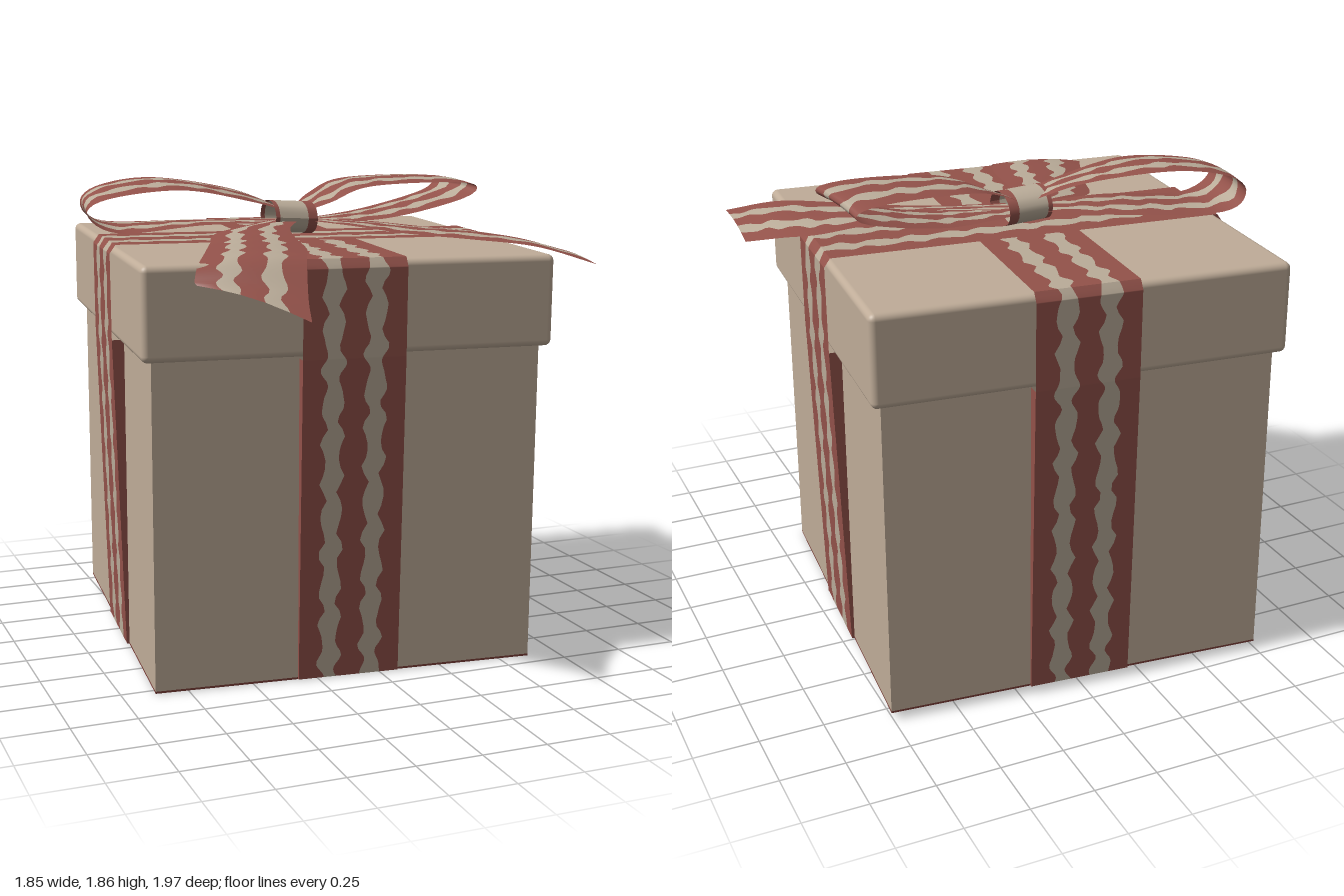
import * as THREE from 'three';
import { RoundedBoxGeometry } from 'three/addons/geometries/RoundedBoxGeometry.js';

const flat = (name, color, side = THREE.FrontSide) => {
  const m = new THREE.MeshStandardMaterial({ color, side });
  m.name = name;
  return m;
};

// Striped ribbon spanned between two edge curves; each section is [edge A xyz, edge B xyz].
function ribbonGeometry(sections, { tension = 0.5, bulge = 0, amp = 0.012, stops = [0, 0.21, 0.38, 0.62, 0.79, 1] } = {}) {
  const edge = (o) => new THREE.CatmullRomCurve3(
    sections.map((s) => new THREE.Vector3(s[o], s[o + 1], s[o + 2])), false, 'catmullrom', tension);
  const A = edge(0), B = edge(3), last = sections.length - 1;
  const params = [];
  for (let i = 0; i < last; i++) {
    const len = A.points[i].distanceTo(A.points[i + 1]) + B.points[i].distanceTo(B.points[i + 1]);
    const n = Math.max(2, Math.ceil(len / 2 / 0.022));
    for (let j = 0; j < n; j++) params.push((i + j / n) / last);
  }
  params.push(1);

  const pos = [], index = [], p = new THREE.Vector3(), cols = stops.length;
  let run = 0, prev = null;
  for (const t of params) {
    const a = A.getPoint(t), b = B.getPoint(t), width = a.distanceTo(b);
    const mid = a.clone().lerp(b, 0.5);
    if (prev) run += mid.distanceTo(prev);
    prev = mid;
    stops.forEach((s, c) => {
      const inner = c > 0 && c < cols - 1;
      // wavy painted edge, about seven waves per unit
      const wave = inner ? amp * Math.sin(run * 44 + c * 1.9) + amp * 0.4 * Math.sin(run * 71 + c) : 0;
      const v = s + wave / Math.max(width, 0.3);
      p.lerpVectors(a, b, v);
      pos.push(p.x, p.y + bulge * width * Math.sin(Math.PI * v), p.z);
    });
  }
  const g = new THREE.BufferGeometry();
  for (let c = 0; c < cols - 1; c++) {
    const start = index.length;
    for (let r = 0; r < params.length - 1; r++) {
      const k = r * cols + c;
      index.push(k, k + 1, k + cols, k + 1, k + cols + 1, k + cols);
    }
    g.addGroup(start, index.length - start, c % 2);
  }
  g.setAttribute('position', new THREE.Float32BufferAttribute(pos, 3));
  g.setIndex(index);
  g.computeVertexNormals();
  return g;
}

export function createModel() {
  const paper = flat('tan paper', 0xbfac98);
  const red = flat('ribbon red', 0x93524a, THREE.DoubleSide);
  const cream = flat('ribbon cream', 0xbaac99, THREE.DoubleSide);
  const baseRed = flat('base red', 0x7d3f39);
  const stripes = [red, cream];

  const model = new THREE.Group();
  model.name = 'giftBox';
  const add = (parent, name, geometry, material, x = 0, y = 0, z = 0) => {
    const m = new THREE.Mesh(geometry, material);
    m.name = name;
    m.position.set(x, y, z);
    parent.add(m);
    return m;
  };

  // Box, turned and tipped slightly
  const box = new THREE.Group();
  box.name = 'box';
  box.position.set(-0.06, 0.017, -0.14);
  box.rotation.set(0.02, -0.0884, 0);
  model.add(box);
  add(box, 'boxBody', new THREE.BoxGeometry(1.506, 1.272, 1.506), paper, 0, 0.644, 0);
  add(box, 'lid', new RoundedBoxGeometry(1.586, 0.35, 1.586, 3, 0.025), paper, 0, 1.435, 0);

  // Painted underside with two bare patches
  add(box, 'basePlate', new THREE.BoxGeometry(1.506, 0.008, 1.506), baseRed, 0, 0.004, 0);
  add(box, 'basePatchLarge', new THREE.BoxGeometry(0.48, 0.004, 1.11), cream, 0.28, 0, -0.015);
  add(box, 'basePatchSmall', new THREE.BoxGeometry(0.54, 0.004, 0.37), cream, -0.33, 0, 0.485);

  // Wrapping bands: up one side, over the lid, down the other
  const half = 0.2;
  const side = [[0.764, 0.002], [0.801, 1.25], [0.803, 1.585], [0.78, 1.618]];
  const path = [...side, ...side.map(([u, y]) => [-u, y]).reverse()];
  const skirt = new THREE.Shape([[0.74, 0.002], [0.764, 0.002], [0.801, 1.25], [0.74, 1.25]]
    .map(([u, y]) => new THREE.Vector2(u, y)));
  for (let i = 0; i < 2; i++) {
    const band = new THREE.Group();
    band.name = i ? 'bandSideToSide' : 'bandFrontToBack';
    band.rotation.y = i * Math.PI / 2;
    box.add(band);
    const lift = i * 0.003;
    add(band, 'bandStripes', ribbonGeometry(
      path.map(([u, y]) => [-half, y + lift, u, half, y + lift, u]), { tension: 0 }), stripes);
    // edges of the band where it stands off the body below the lid
    for (const dir of [-1, 1]) for (const s of [-1, 1]) {
      add(band, 'bandEdge', new THREE.ShapeGeometry(skirt), red, s * half, 0, 0).rotation.y = dir * Math.PI / 2;
    }
  }

  // Bow
  const bow = new THREE.Group();
  bow.name = 'bow';
  model.add(bow);
  add(bow, 'leftLoopOfBow', ribbonGeometry([
    [-0.09, 1.74, -0.2, -0.09, 1.73, -0.08],
    [-0.28, 1.82, -0.31, -0.27, 1.78, -0.07],
    [-0.58, 1.865, -0.44, -0.55, 1.83, -0.08],
    [-0.8, 1.83, -0.49, -0.84, 1.80, -0.12],
    [-0.865, 1.76, -0.5, -0.925, 1.74, -0.13],
    [-0.78, 1.69, -0.48, -0.8, 1.665, -0.12],
    [-0.45, 1.69, -0.38, -0.45, 1.69, -0.09],
    [-0.09, 1.70, -0.2, -0.09, 1.69, -0.08],
  ], { bulge: 0.03 }), stripes);
  add(bow, 'rightLoopOfBow', ribbonGeometry([
    [-0.05, 1.74, -0.2, -0.05, 1.73, -0.08],
    [0.06, 1.80, -0.27, 0.07, 1.77, -0.05],
    [0.22, 1.85, -0.34, 0.22, 1.83, -0.02],
    [0.52, 1.86, -0.36, 0.52, 1.845, 0.02],
    [0.665, 1.84, -0.37, 0.69, 1.83, 0.02],
    [0.62, 1.79, -0.36, 0.63, 1.775, 0.02],
    [0.3, 1.72, -0.31, 0.3, 1.70, -0.02],
    [-0.05, 1.69, -0.2, -0.05, 1.69, -0.08],
  ], { bulge: 0.03 }), stripes);
  add(bow, 'leftTail', ribbonGeometry([
    [-0.16, 1.70, -0.13, -0.06, 1.70, -0.08],
    [-0.43, 1.665, -0.01, -0.15, 1.68, 0.06],
    [-0.53, 1.645, 0.2, -0.2, 1.66, 0.25],
    [-0.62, 1.635, 0.42, -0.25, 1.64, 0.5],
    [-0.71, 1.605, 0.61, -0.32, 1.615, 0.68],
    [-0.74, 1.56, 0.67, -0.38, 1.50, 0.85],
    [-0.735, 1.545, 0.68, -0.425, 1.44, 1.0],
  ], { bulge: 0.04 }), stripes);
  add(bow, 'rightTail', ribbonGeometry([
    [-0.04, 1.70, -0.17, -0.04, 1.70, -0.07],
    [0.22, 1.69, -0.07, 0.12, 1.68, 0.04],
    [0.45, 1.665, 0, 0.3, 1.655, 0.2],
    [0.68, 1.64, 0.03, 0.5, 1.64, 0.38],
    [0.8, 1.615, 0.12, 0.69, 1.62, 0.55],
    [0.92, 1.58, 0.23, 0.87, 1.56, 0.7],
  ], { bulge: 0.03 }), stripes);

  // Knot wrapped round the middle of the bow
  const knot = [];
  for (let i = 0; i <= 10; i++) {
    const a = i / 10 * Math.PI * 2, y = 1.715 + 0.065 * Math.sin(a), z = -0.14 + 0.095 * Math.cos(a);
    knot.push([-0.17, y, z, 0.01, y - 0.01, z]);
  }
  add(bow, 'knot', ribbonGeometry(knot, { amp: 0, stops: [0, 0.1, 0.78, 1] }), stripes);
  return model;
}
